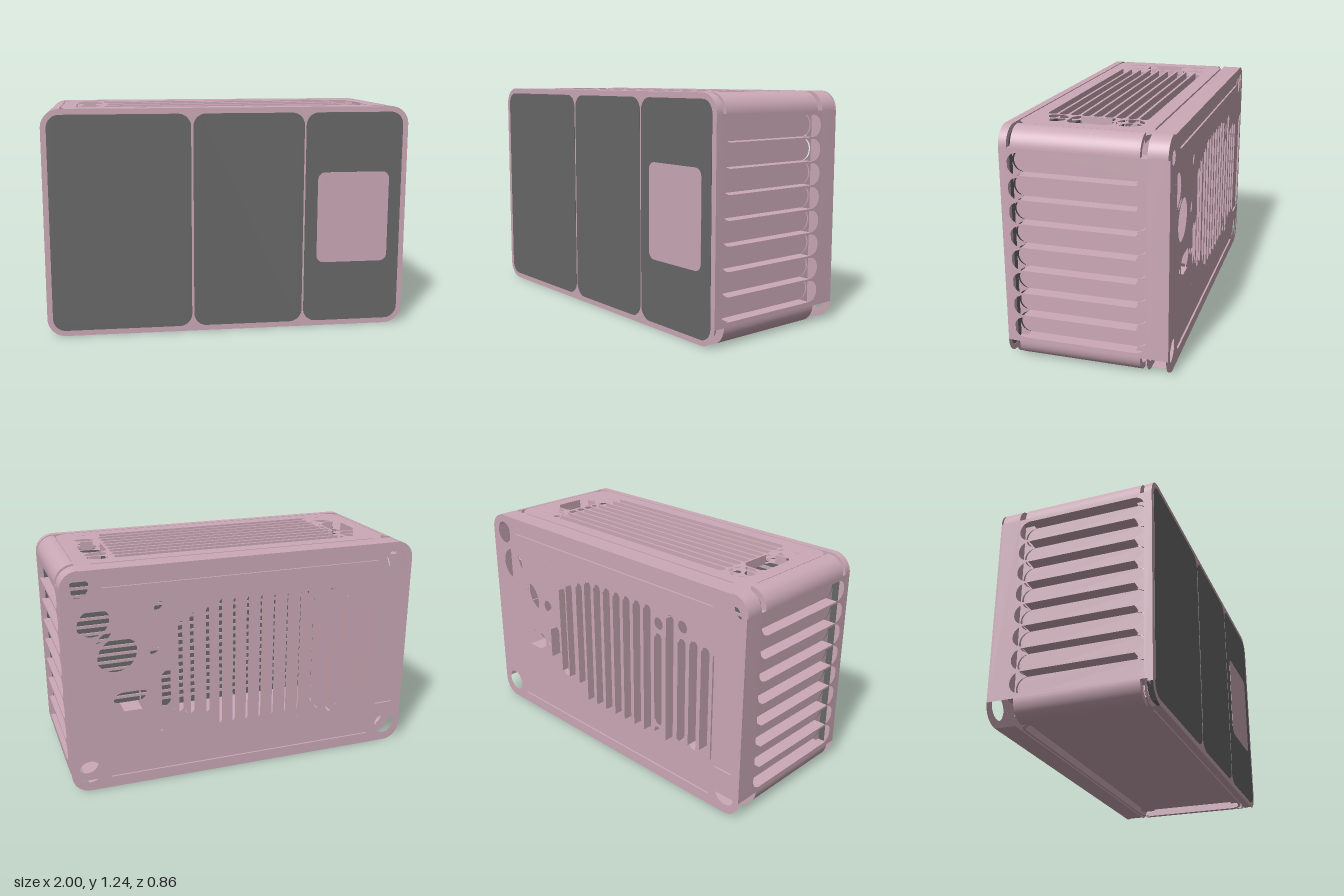
import * as THREE from 'three';
import { toCreasedNormals } from 'three/addons/utils/BufferGeometryUtils.js';

const W = 1, H = 1.24, R = 0.1;        // half width, height, corner radius
const ZF = 0.385, ZB = -0.32;          // inner faces of front and back plates
const CF = 0.365, CB = -0.285;         // ends of the core between the plates

// Rounded rectangle between two corners
function rr(x0, y0, x1, y1, r) {
  r = Math.min(r, (x1 - x0) * 0.499, (y1 - y0) * 0.499);
  const s = new THREE.Shape(), q = Math.PI / 2;
  s.absarc(x1 - r, y0 + r, r, -q, 0);
  s.absarc(x1 - r, y1 - r, r, 0, q);
  s.absarc(x0 + r, y1 - r, r, q, 2 * q);
  s.absarc(x0 + r, y0 + r, r, 2 * q, 3 * q);
  s.closePath();
  return s;
}
const slot = (x, y, w, h) => rr(x - w / 2, y - h / 2, x + w / 2, y + h / 2, 9);
const disc = (x, y, r) => slot(x, y, 2 * r, 2 * r);

// Plate from a shape with holes; curved edge walls stay open except where keep() says so
function slab(shape, holes, d0, d1, keep = () => false) {
  shape.holes.push(...holes);
  const p = new THREE.ExtrudeGeometry(shape, { depth: d1 - d0, bevelEnabled: false, curveSegments: 8 }).attributes.position;
  const pos = [], t = new THREE.Triangle(), n = new THREE.Vector3();
  for (let i = 0; i < p.count; i += 3) {
    t.setFromAttributeAndIndices(p, i, i + 1, i + 2);
    t.getNormal(n);
    const curved = Math.abs(n.x) > 0.01 && Math.abs(n.y) > 0.01;
    if (!curved || [t.a, t.b, t.c].every(v => keep(v.x, v.y)))
      for (const v of [t.a, t.b, t.c]) pos.push(v.x, v.y, v.z + d0);
  }
  const g = new THREE.BufferGeometry();
  g.setAttribute('position', new THREE.Float32BufferAttribute(pos, 3));
  return g;
}
const lying = (shape, holes, y0, y1) => slab(shape, holes, y0, y1).rotateX(-Math.PI / 2);   // shape y = -z
const sideways = (shape, holes, x0, x1) => slab(shape, holes, x0, x1).rotateY(Math.PI / 2); // shape x = -z
const upperCorner = (x, y) => y > H - R - 0.001 && Math.hypot(Math.abs(x) - (W - R), y - (H - R)) > 0.099;

export function createModel() {
  const pink = new THREE.MeshStandardMaterial({ color: 0xcba9b6, side: THREE.DoubleSide });
  pink.name = 'dusty pink';
  const grey = new THREE.MeshStandardMaterial({ color: 0x686868, side: THREE.DoubleSide });
  grey.name = 'dark grey';
  const model = new THREE.Group();
  model.name = 'enclosure';
  const add = (name, g, mat = pink) => {
    const m = new THREE.Mesh(toCreasedNormals(g, 0.6), mat);
    m.name = name;
    model.add(m);
  };

  // Front frame with three flush panels, a window plate and inner slats
  const spans = [[-0.97, -0.207], [-0.195, 0.415], [0.425, 0.97]];
  const panel = ([a, b]) => rr(a, 0.03, b, 1.21, 0.07);
  add('frontFrame', slab(rr(-W, 0, W, H, R), spans.map(panel), ZF, 0.427, upperCorner));
  for (const s of spans) add('frontPanel', slab(panel(s), [], ZF + 0.002, 0.429), grey);
  add('frontWindow', slab(rr(0.495, 0.37, 0.9, 0.88, 0.04), [], 0.4285, 0.431));
  for (let y = 0.1; y < 1.16; y += 0.05) add('innerSlat', new THREE.BoxGeometry(1.7, 0.018, 0.008).toNonIndexed().translate(0, y, ZF - 0.003));

  // Openings of the back plate
  const backHoles = () => {
    const list = [];
    for (const x of [-0.9, 0.9]) for (const y of [0.11, 1.13]) list.push(disc(x, y, 0.066));
    for (const [x, y, r] of [[0.83, 0.94, 0.095], [0.71, 0.75, 0.118], [0.48, 1.0, 0.04], [0.51, 0.75, 0.04],
      [0.8, 0.49, 0.025], [0.48, 0.27, 0.035], [0.515, 0.5, 0.018],
      [-0.42, 0.935, 0.035], [-0.42, 0.28, 0.035], [-0.59, 0.97, 0.035], [-0.59, 0.225, 0.035]]) list.push(disc(x, y, r));
    list.push(slot(0.65, 0.5, 0.21, 0.11), slot(0.45, 0.52, 0.08, 0.26));
    const vents = [[0.365, 0.34, 0.92], [0.3, 0.32, 0.96], [0.21, 0.31, 0.985],
      [-0.42, 0.325, 0.88], [-0.505, 0.225, 1.01], [-0.59, 0.27, 0.905], [-0.67, 0.27, 0.92], [-0.75, 0.275, 0.91]];
    for (let i = 0; i < 7; i++) vents.push([0.135 - i * 0.079, 0.225, 1.02]);
    for (const [x, a, b] of vents) list.push(slot(x, (a + b) / 2, 0.055, b - a));
    return list;
  };
  // Shallow recesses are cut through the outer skin only
  const recesses = [slot(0, 1.165, 1.62, 0.045), slot(0, 0.085, 1.62, 0.045), rr(-0.97, 0.25, -0.8, 0.91, 0.03)];
  add('backPlate', slab(rr(-W, 0, W, H, R), backHoles(), -0.42, ZB, upperCorner));
  add('backSkin', slab(rr(-W, 0, W, H, R), [...backHoles(), ...recesses], -0.43, -0.42));

  // Side walls with a recessed upright fin behind each slot, open at the slot ends
  const zc = 0.0375;
  const slotY = Array.from({ length: 8 }, (_, i) => 0.182 + i * 0.1257);
  for (const s of [-1, 1]) {
    const span = (a, b) => (s > 0 ? [a, b] : [-b, -a]);
    add('sideWall', sideways(rr(-ZF - 0.005, R, -ZB, H - R, 0.001),
      slotY.map(y => slot(-zc, y, 0.7, 0.115)), ...span(0.93, 1)));
    for (const y of slotY) add('sideFin', sideways(slot(-zc, y, 0.682, 0.115), [], ...span(0.922, 0.93)));
  }

  // Rounded corner bars, shorter than the walls so that a gap stays at each end
  for (const sx of [-1, 1]) for (const top of [false, true]) {
    const a = Math.atan2(top ? 1 : -1, sx) - Math.PI / 4;
    const ring = new THREE.Shape();
    ring.absarc(0, 0, R, a, a + Math.PI / 2, false);
    ring.absarc(0, 0, 0.07, a + Math.PI / 2, a, true);
    ring.closePath();
    add('cornerBar', slab(ring, [], CB, CF, () => true).translate(sx * (W - R), top ? H - R : R, 0));
  }

  // Top: grille panel on a floor, with a narrow gap to the plates in front and behind
  const topHoles = () => {
    const list = [];
    for (let i = 0; i < 9; i++) list.push(slot(0, -(-0.208 + i * 0.0608), 1.34, 0.047));
    for (const s of [-1, 1]) {
      list.push(disc(s * 0.75, 0.165, 0.07), disc(s * 0.75, -0.23, 0.07));
      list.push(rr(s * 0.75 - 0.07, -0.15, s * 0.75 + 0.07, 0.085, 0.035));
    }
    return list;
  };
  add('topFloor', lying(rr(-0.92, -CF, 0.92, -CB, 0.001), topHoles(), 1.19, 1.22));
  add('topPanel', lying(rr(-0.897, -0.377, 0.897, 0.31, 0.08), topHoles(), 1.22, H));

  // Bottom: rim round a recessed closed floor
  add('bottomRim', lying(rr(-0.9, -0.377, 0.9, 0.31, 0.08), [rr(-0.885, -0.363, 0.885, 0.296, 0.07)], 0, 0.042));
  add('bottomFloor', lying(rr(-0.92, -ZF, 0.92, -ZB, 0.001), [], 0.042, 0.046));
  return model;
}
